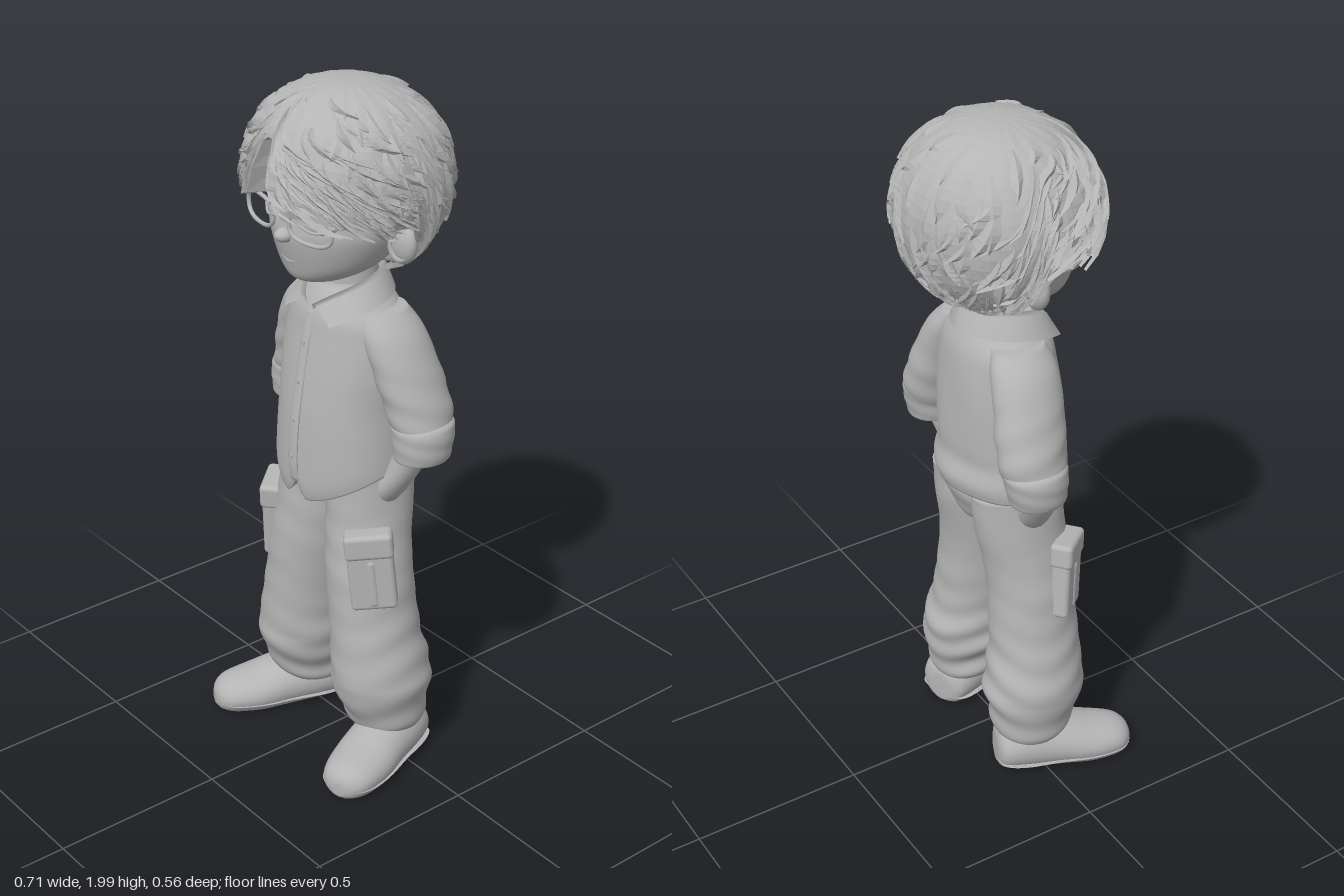
import * as THREE from 'three';
import { mergeGeometries } from 'three/addons/utils/BufferGeometryUtils.js';
import { RoundedBoxGeometry } from 'three/addons/geometries/RoundedBoxGeometry.js';

const { sin, cos, abs, exp, max, min, sign, PI } = Math;
const smooth = THREE.MathUtils.smoothstep;

function surface(pos, idx) {
  const g = new THREE.BufferGeometry();
  g.setAttribute('position', new THREE.Float32BufferAttribute(pos, 3));
  g.setIndex(idx);
  g.computeVertexNormals();
  return g;
}

// Smooth interpolation between b and r, with neighbours p and s
function spline(p, b, r, s, t) {
  const cubic = 3 * (b - r) + s - p;
  const square = 2 * p - 5 * b + 4 * r - s;
  return b + 0.5 * t * (r - p + t * (square + t * cubic));
}

// Closed surface through elliptical rings [y, cx, cz, rx, rz], listed bottom to top
function loft(rings, { seg = 40, steps = 5, side = 1, fold = () => 1, warp = () => {} } = {}) {
  const rows = [], pos = [], idx = [], n = rings.length, v = new THREE.Vector3();
  for (let i = 0; i < n - 1; i++) {
    const p = rings[max(0, i - 1)], r = rings[i + 1], s = rings[min(n - 1, i + 2)];
    for (let k = 0; k < steps; k++) rows.push(rings[i].map((b, c) => spline(p[c], b, r[c], s[c], k / steps)));
  }
  rows.push(rings[n - 1]);
  const add = (x, y, z) => {
    warp(v.set(x, y, z));
    pos.push(v.x, v.y, v.z);
  };
  for (const [y, cx, cz, rx, rz] of rows) for (let i = 0; i < seg; i++) {
    const a = i / seg * PI * 2, f = fold(a, y);
    add(cx * side + rx * f * sin(a), y, cz + rz * f * cos(a));
  }
  const last = rows.length - 1, cap = rows.length * seg;
  for (const row of [rows[0], rows[last]]) add(row[1] * side, row[0], row[2]);
  for (let i = 0; i < seg; i++) {
    const i2 = (i + 1) % seg;
    for (let j = 0; j < last; j++) {
      const a = j * seg + i, b = j * seg + i2;
      idx.push(a, b, b + seg, a, b + seg, a + seg);
    }
    idx.push(cap, i2, i, cap + 1, last * seg + i, last * seg + i2);
  }
  return surface(pos, idx);
}

// Point of the hair volume: azimuth from the front, s = 0 crown to 1 hairline
function hairPoint(az, s, lift) {
  const a = Math.atan2(sin(az), cos(az));
  const parting = exp(-(((a + 0.17) / 0.17) ** 4));
  const hemY = 1.69 - 0.03 * smooth(abs(a), 0.5, 1.3) - 0.16 * smooth(abs(a), 1.6, 1.95) + 0.17 * parting;
  const phi = Math.acos((hemY - 1.73) / 0.255) * s;
  const r = lift * sin(phi) ** 0.86 * (1 - 0.06 * parting * s * s);
  return [0.284 * r * sin(a), 1.73 + 0.255 * lift * cos(phi), 0.27 * r * cos(a)];
}

function hairCap() {
  const pos = [], idx = [], seg = 96, rows = 22;
  for (let j = 0; j <= rows + 1; j++) for (let i = 0; i < seg; i++) {
    const a = i / seg * PI * 2, s = min(j / rows, 1);
    const [x, y, z] = hairPoint(a, s, 1.01 + 0.02 * s * sin(a * 17 + s * 9) * sin(a * 5 - s * 14));
    const k = j > rows ? 0.7 : 1; // last row turns under to the scalp
    pos.push(x * k, y, z * k);
    if (j > rows) continue;
    const p = j * seg + i, q = j * seg + (i + 1) % seg;
    idx.push(p, p + seg, q + seg, p, q + seg, q);
  }
  return surface(pos, idx);
}

// Strip mesh from n + 1 rows of m points each
function strip(n, m, row) {
  const pos = [], idx = [];
  for (let i = 0; i <= n; i++) {
    pos.push(...row(i / n).flat());
    if (i < n) for (let k = 0; k < m - 1; k++) {
      const b = i * m + k;
      idx.push(b, b + m, b + m + 1, b, b + m + 1, b + 1);
    }
  }
  return surface(pos, idx);
}

// Ridged tapering locks lying over the cap, tousled and swept away from the parting
function hairLocks() {
  let seed = 7;
  const rnd = () => (seed = (seed * 16807) % 2147483647) / 2147483647;
  const locks = [];
  for (let i = 0; i < 380; i++) {
    const az = (i * 0.618034 % 1) * PI * 2 - PI, s0 = 0.12 + 0.74 * Math.sqrt(rnd());
    const sweep = (az > -0.17 ? 1 : -1) * (1 - smooth(abs(az), 1.2, 2.6));
    const swirl = sweep * (0.15 + 0.45 * rnd()) + (rnd() - 0.5) * 0.5;
    const len = 0.1 + 0.16 * rnd(), width = 0.05 + 0.05 * rnd(), height = 0.025 + 0.035 * rnd();
    locks.push(strip(6, 3, t => {
      const s = min(s0 + len * t, 1.05), a = az + swirl * t * t, edge = 0.99 + height * 0.7 * t * t;
      const w = width * (1 - t ** 2.5) * (0.4 + min(1, 2 * t)) / max(0.35, sin(s * 1.7));
      return [hairPoint(a - w, s, edge), hairPoint(a, s, 1 + height * min(1, 0.3 + t)), hairPoint(a + w, s, edge)];
    }));
  }
  return mergeGeometries(locks);
}

// Turned-down collar, open at the front
const collarGeometry = () => strip(36, 4, t => {
  const a = (t * 2 - 1) * PI * 0.96, u = abs(a) / PI, b = a * 0.8;
  const top = [0.092 * sin(a), 1.475 - 0.095 * u ** 2.5, -0.025 - 0.085 * cos(a) + 0.075 * u];
  const low = [0.145 * sin(b), 1.405 - 0.06 * u ** 3, -0.005 - 0.13 * cos(b) + 0.05 * u];
  const fold = top.map((c, k) => c * 0.7 + low[k] * 0.3 + (k === 1 ? 0.012 : 0));
  return [[top[0] * 0.88, top[1] - 0.05, top[2] * 0.88], top, fold, low];
});

export function createModel() {
  const model = new THREE.Group();
  const grey = new THREE.MeshStandardMaterial({ color: 0xb4b4b4, side: THREE.DoubleSide });
  grey.name = 'clay grey';
  const add = (name, geo, x = 0, y = 0, z = 0, parent = model) => {
    const m = new THREE.Mesh(geo, grey);
    m.name = name;
    m.position.set(x, y, z);
    parent.add(m);
    return m;
  };
  const ball = (name, x, y, z, sx, sy, sz) => add(name, new THREE.SphereGeometry(1, 24, 16).scale(sx, sy, sz), x, y, z);
  const tube = (name, pts, r, closed = false) => add(name, new THREE.TubeGeometry(
    new THREE.CatmullRomCurve3(pts.map(p => new THREE.Vector3(...p)), closed), 40, r, 8, closed));
  const addFaceted = (name, geo) => {
    const flat = geo.toNonIndexed();
    flat.computeVertexNormals();
    add(name, flat);
  };

  // Head, hair and face
  add('head', loft([[1.462, 0, 0.09, 0.04, 0.06], [1.478, 0, 0.08, 0.09, 0.1], [1.52, 0, 0.05, 0.148, 0.145],
    [1.6, 0, 0.015, 0.192, 0.197], [1.66, 0, 0.005, 0.2, 0.2], [1.75, 0, 0, 0.213, 0.212],
    [1.85, 0, 0, 0.19, 0.205], [1.93, 0, 0, 0.09, 0.09]]));
  add('neck', new THREE.CylinderGeometry(0.078, 0.085, 0.14, 28), 0, 1.43, -0.005);
  addFaceted('hair', hairCap());
  addFaceted('hairLocks', hairLocks());
  ball('nose', 0, 1.605, 0.21, 0.025, 0.02, 0.03);
  tube('mouth', [[-0.035, 1.535, 0.193], [0, 1.529, 0.197], [0.035, 1.535, 0.193]], 0.003);
  tube('glassesBridge', [[-0.035, 1.655, 0.221], [0, 1.662, 0.226], [0.035, 1.655, 0.221]], 0.006);

  // Shirt
  add('shirtBody', loft([[0.92, 0, 0.01, 0.212, 0.172], [0.96, 0, 0.012, 0.21, 0.178], [1.02, 0, 0.014, 0.205, 0.172],
    [1.1, 0, 0.01, 0.2, 0.167], [1.2, 0, 0.005, 0.202, 0.157], [1.3, 0, 0, 0.195, 0.143],
    [1.36, 0, 0, 0.178, 0.132], [1.41, 0, 0, 0.125, 0.11], [1.44, 0, 0, 0.09, 0.09]], {
    seg: 72,
    fold: (a, y) => 1 + abs(sin(a / 2)) * 0.014 * sin(a * 6 + y * 9) * smooth(1.36 - y, 0, 0.15)
      + 0.025 * smooth(-cos(a), 0, 1) * sin((y - 0.92) * 42) * smooth(1.07 - y, 0, 0.08),
    warp: v => { // front hem dips to two points beside a notch
      const f = max(0, v.z / 0.18), notch = f > 0.5 ? 0.05 * exp(-((v.x / 0.02) ** 2)) : 0;
      v.y -= (1 - smooth(v.y, 0.92, 1.1)) * (0.1 * f * f - notch);
    },
  }));
  add('placket', loft([[0.875, 0, 0.186, 0.018, 0.007], [0.93, 0, 0.192, 0.018, 0.007], [1.02, 0, 0.188, 0.018, 0.007],
    [1.1, 0, 0.178, 0.018, 0.007], [1.2, 0, 0.161, 0.018, 0.007], [1.3, 0, 0.142, 0.018, 0.007],
    [1.37, 0, 0.124, 0.015, 0.007]], { seg: 16 }));
  for (const [y, z] of [[0.95, 0.199], [1.06, 0.191], [1.17, 0.174], [1.28, 0.153]])
    add('button', new THREE.CylinderGeometry(0.007, 0.007, 0.006, 12).rotateX(PI / 2), 0, y, z);
  add('collar', collarGeometry());
  add('trouserSeat', loft([[0.765, 0, 0, 0.03, 0.06], [0.8, 0, 0, 0.1, 0.11], [0.85, 0, 0, 0.175, 0.13],
    [0.9, 0, -0.005, 0.195, 0.142], [0.98, 0, 0, 0.18, 0.14]]));

  for (const s of [1, -1]) {
    // Ear, closed eye and one side of the glasses
    ball('ear', s * 0.212, 1.59, -0.015, 0.048, 0.058, 0.028).rotation.z = -s * 0.2;
    add('earRim', new THREE.TorusGeometry(0.032, 0.008, 8, 24).scale(0.9, 1.3, 1), s * 0.218, 1.592, 0.002).rotation.y = s * 0.4;
    ball('eyelid', s * 0.095, 1.645, 0.167, 0.05, 0.026, 0.02).rotation.y = s * 0.5;
    tube('eyeLine', [[s * 0.05, 1.642, 0.2], [s * 0.095, 1.633, 0.191], [s * 0.14, 1.642, 0.163]], 0.004);
    tube('glassesRim', Array.from({ length: 20 }, (_, i) => {
      const c = cos(i / 10 * PI), d = sin(i / 10 * PI), x = 0.105 + 0.072 * sign(c) * abs(c) ** 0.75;
      return [s * x, 1.65 + 0.04 * sign(d) * abs(d) ** 0.75, 0.222 - x * x * 0.9];
    }), 0.006, true);
    tube('glassesTemple', [[s * 0.177, 1.67, 0.195], [s * 0.205, 1.672, 0.12], [s * 0.212, 1.66, 0]], 0.006);

    // Arm with rolled sleeve, hand tucked into the trousers
    add('sleeve', loft([[1.03, 0.262, -0.05, 0.07, 0.08], [1.08, 0.255, -0.05, 0.08, 0.092], [1.15, 0.235, -0.045, 0.08, 0.1],
      [1.25, 0.2, -0.03, 0.076, 0.1], [1.33, 0.16, -0.02, 0.075, 0.095], [1.385, 0.122, -0.015, 0.06, 0.075]],
    { side: s, fold: (a, y) => 1 + 0.03 * sin(y * 70 + s * a * 2) * (1 - smooth(y, 1.15, 1.32)) }));
    add('sleeveCuff', loft([[0.98, 0.268, -0.042, 0.062, 0.068], [0.985, 0.268, -0.042, 0.073, 0.08],
      [1.03, 0.268, -0.045, 0.079, 0.088], [1.075, 0.262, -0.048, 0.083, 0.092], [1.09, 0.258, -0.048, 0.072, 0.08]],
    { side: s, fold: (a, y) => 1 + 0.015 * sin(y * 130 + a * 2) }));
    add('forearm', loft([[0.83, 0.17, 0.005, 0.035, 0.04], [0.87, 0.19, 0, 0.045, 0.05], [0.93, 0.225, -0.012, 0.045, 0.05],
      [1.02, 0.258, -0.035, 0.05, 0.055]], { side: s, seg: 24 }));

    // Trouser leg with gathered hem, and its cargo pocket
    add('trouserLeg', loft([[0.105, 0.178, -0.005, 0.1, 0.1], [0.13, 0.178, 0, 0.113, 0.115], [0.18, 0.177, 0.008, 0.117, 0.13],
      [0.25, 0.173, 0.014, 0.136, 0.148], [0.3, 0.17, 0.016, 0.135, 0.146], [0.4, 0.157, 0.025, 0.126, 0.133],
      [0.5, 0.142, 0.026, 0.121, 0.129], [0.6, 0.13, 0.027, 0.12, 0.127], [0.7, 0.115, 0.018, 0.113, 0.128],
      [0.8, 0.105, 0.005, 0.105, 0.135], [0.92, 0.1, 0, 0.092, 0.142]], {
      side: s, seg: 48, steps: 8,
      fold: (a, y) => 1 + (0.045 - 0.037 * smooth(y, 0.2, 0.55))
        * sin(y * 62 + 1.8 * sin(a * 2 + s)) * (0.6 + 0.4 * cos(a + s * y * 9)),
    }));
    const pocket = new THREE.Group();
    pocket.name = 'cargoPocket';
    pocket.position.set(s * 0.218, 0.64, 0.09);
    pocket.rotation.set(0, s * 0.87, s * 0.1);
    model.add(pocket);
    for (const [name, w, h, d, y] of [['pocketBag', 0.13, 0.19, 0.055, -0.015],
      ['pocketFlap', 0.136, 0.075, 0.066, 0.09], ['pocketPleat', 0.03, 0.15, 0.064, -0.025]])
      add(name, new RoundedBoxGeometry(w, h, d, 3, 0.014), 0, y, 0, pocket);

    // Shoe and sole, lofted heel to toe and turned outward
    const last = [[-0.078, 0, -0.05, 0.04, 0.045], [-0.06, 0, -0.06, 0.075, 0.07], [0, 0, -0.07, 0.09, 0.085],
      [0.1, 0, -0.06, 0.089, 0.08], [0.2, 0, -0.045, 0.091, 0.066], [0.28, 0, -0.04, 0.076, 0.053],
      [0.315, 0, -0.035, 0.05, 0.038], [0.328, 0, -0.03, 0.02, 0.02]];
    for (const [name, k, top] of [['shoe', 1, 1], ['shoeSole', 1.04, 0.028]])
      add(name, loft(last.map(([l, cx, cz, rx, rz]) => [l, cx, cz, rx * k, rz * k]),
        { warp: v => { v.z = -max(0, min(top, -v.z)); } }).rotateX(PI / 2), s * 0.185, 0, -0.035).rotation.y = s * 0.35;
  }
  return model;
}
